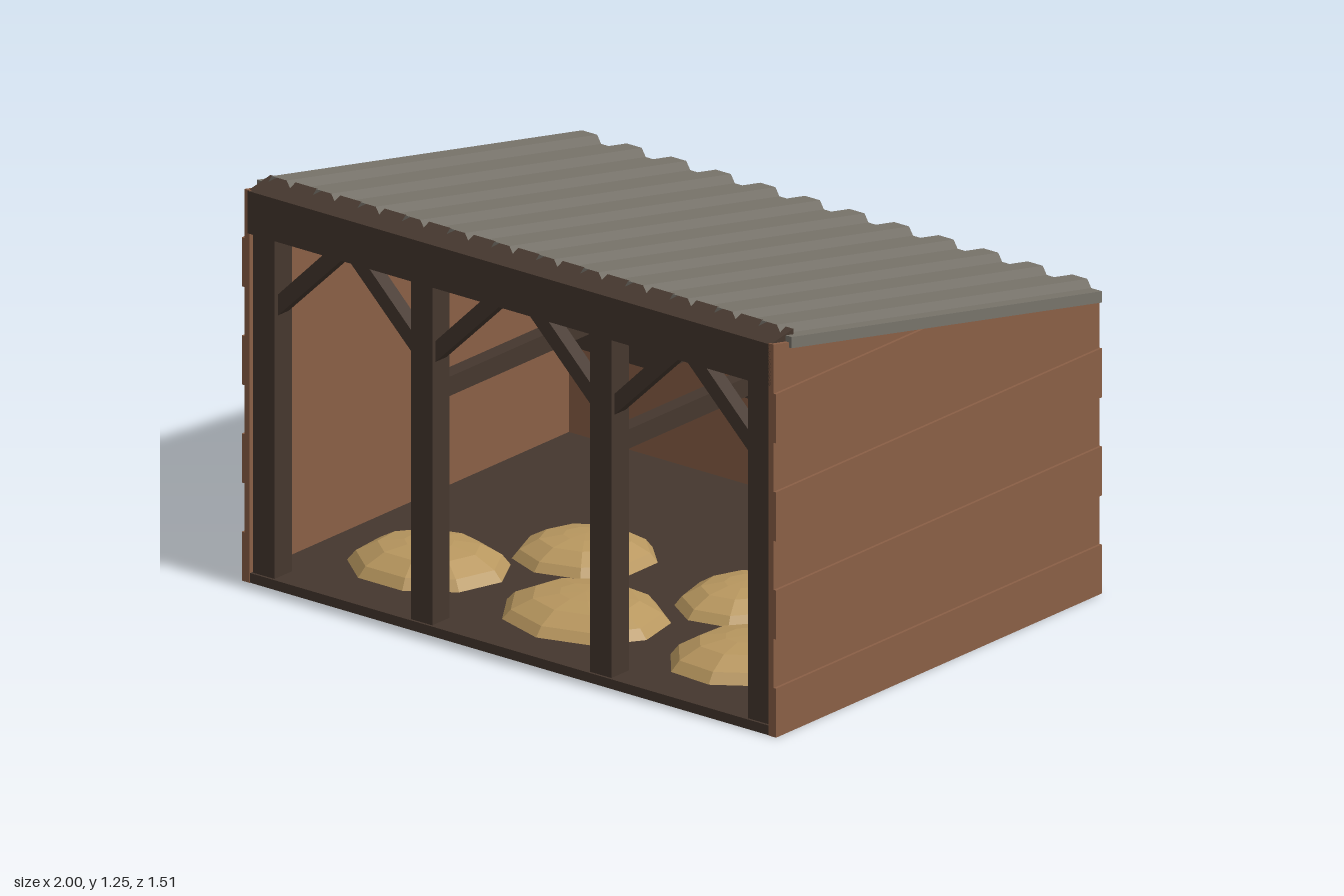
import * as THREE from 'three';

const material = (name, color, extra = {}) =>
  Object.assign(new THREE.MeshStandardMaterial({ color, ...extra }), { name });

export function createModel() {
  const group = new THREE.Group();
  const boards = material('wall boards', 0x8a5f46);
  const timber = material('dark timber', 0x45372e);
  const metal = material('roof metal', 0x77736a, { side: THREE.DoubleSide });
  const glass = material('window glass', 0x4a6678);
  const straw = material('straw', 0xb8975f, { flatShading: true });

  const add = (name, geometry, mat, parent = group) => {
    const mesh = new THREE.Mesh(geometry, mat);
    mesh.name = name;
    parent.add(mesh);
    return mesh;
  };
  // box given by its limits on each axis
  const box = (name, x0, x1, y0, y1, z0, z1, mat) => {
    const mesh = add(name, new THREE.BoxGeometry(x1 - x0, y1 - y0, z1 - z0), mat);
    mesh.position.set((x0 + x1) / 2, (y0 + y1) / 2, (z0 + z1) / 2);
    return mesh;
  };
  // side profile of [z, y] points, extruded from x0 to x1
  const profile = (name, points, x0, x1, mat) => {
    const shape = new THREE.Shape(points.map(([z, y]) => new THREE.Vector2(z, y)));
    const g = new THREE.ExtrudeGeometry(shape, { depth: x1 - x0, bevelEnabled: false });
    g.rotateY(-Math.PI / 2).translate(x1, 0, 0);
    return add(name, g, mat);
  };

  const FRONT = 0.75, BACK = -0.745, ROW = 0.1525;
  const wallTop = z => 1.07 + 0.2 * z;
  const roofTop = z => 1.089 + 0.2 * z;

  // floor
  box('floor', -0.97, 0.97, 0, 0.03, -0.73, 0.748, timber);

  // side walls: alternating boards cut off along the roof slope
  for (let i = 0; i < 8; i++) {
    const y0 = i * ROW, y1 = y0 + ROW;
    const outer = i % 2 ? 0.99 : 0.999;
    const cut = y => Math.max(BACK, (y - 1.07) / 0.2);
    const pts = [[FRONT, y0]];
    if (i < 7) pts.push([FRONT, y1]);
    pts.push([i < 7 ? cut(y1) : FRONT, Math.min(y1, wallTop(FRONT))]);
    if (y0 < wallTop(BACK) && y1 > wallTop(BACK)) pts.push([BACK, wallTop(BACK)]);
    pts.push([cut(y0), y0]);
    profile('leftWallBoard', pts, 0.97, outer, boards);
    profile('rightWallBoard', pts, -outer, -0.97, boards);
  }

  // back wall with slightly raised boards
  box('backWall', -0.985, 0.985, 0, 0.915, -0.744, -0.715, boards);
  for (let i = 1; i < 6; i += 2)
    box('backWallBoard', -0.965, 0.965, i * ROW, (i + 1) * ROW, -0.748, -0.74, boards);

  // window in the back wall
  box('windowPane', -0.195, 0.195, 0.475, 0.75, -0.752, -0.705, glass);
  for (const s of [-1, 1]) {
    box('windowFrameSide', s * 0.19 - 0.017, s * 0.19 + 0.017, 0.46, 0.765, -0.76, -0.71, timber);
    box('windowFrameRail', -0.207, 0.207, 0.6125 + s * 0.1375 - 0.015,
      0.6125 + s * 0.1375 + 0.015, -0.76, -0.71, timber);
  }
  box('windowUpright', -0.011, 0.011, 0.47, 0.755, -0.758, -0.745, timber);
  box('windowCrossbar', -0.195, 0.195, 0.601, 0.623, -0.758, -0.745, timber);

  // front beam, its top sloped with the roof
  profile('frontBeam', [[0.645, 1.085], [FRONT, 1.085], [FRONT, 1.217], [0.645, 1.235]],
    -0.978, 0.978, timber);

  // posts and braces
  const posts = [-0.925, -0.335, 0.335, 0.925];
  for (const x of posts) box('frontPost', x - 0.04, x + 0.04, 0.03, 1.09, 0.66, 0.74, timber);
  const brace = (x, dir) => {
    const shape = new THREE.Shape();
    shape.moveTo(x, 0.835).lineTo(x + dir * 0.275, 1.1).lineTo(x + dir * 0.205, 1.1).lineTo(x, 0.9);
    const g = new THREE.ExtrudeGeometry(shape, { depth: 0.05, bevelEnabled: false });
    add('brace', g.translate(0, 0, 0.675), timber);
  };
  for (let i = 0; i < 3; i++) {
    brace(posts[i] + 0.03, 1);
    brace(posts[i + 1] - 0.03, -1);
  }

  // stall rails running front to back
  for (const x of [-0.335, 0.335]) box('stallRail', x - 0.025, x + 0.025, 0.71, 0.77, -0.72, 0.67, timber);

  // feed troughs along the back wall
  for (const x of [-0.668, 0, 0.668]) {
    const a = x - 0.197, b = x + 0.197;
    box('troughBase', a, b, 0.395, 0.42, -0.72, -0.52, timber);
    box('troughFront', a, b, 0.395, 0.585, -0.54, -0.52, timber);
    box('troughEnd', a, a + 0.02, 0.395, 0.585, -0.72, -0.53, timber);
    box('troughEnd', b - 0.02, b, 0.395, 0.585, -0.72, -0.53, timber);
  }

  // straw heaps: faceted low domes
  const heap = (x, z, r, h, turn) => {
    const pts = [[1, 0], [0.88, 0.42], [0.62, 0.82], [0.3, 0.97], [0, 1]]
      .map(([a, b]) => new THREE.Vector2(a * r, b * h));
    const mesh = add('strawHeap', new THREE.LatheGeometry(pts, 9), straw);
    mesh.position.set(x, 0.025, z);
    mesh.rotation.y = turn;
    mesh.scale.z = 0.85;
  };
  heap(-0.6, 0.38, 0.25, 0.088, 0.3);
  heap(0, 0.4, 0.27, 0.08, 0);
  heap(0.6, 0.38, 0.25, 0.088, 0.9);
  heap(-0.3, 0.03, 0.22, 0.078, 0.6);
  heap(0.3, 0.03, 0.22, 0.078, 1.2);

  // roof sheet
  const RF = 0.68;
  profile('roofSheet', [[BACK, roofTop(BACK) - 0.035], [RF, roofTop(RF) - 0.035],
    [RF, roofTop(RF)], [BACK, roofTop(BACK)]], -1, 1, metal);

  // open-ended trapezoid ribs along the slope
  const rib = [[-0.043, 0], [-0.028, 0.025], [0.028, 0.025], [0.043, 0]];
  for (let i = 0; i < 12; i++) {
    const x = (i - 5.5) / 6;
    const pos = [];
    for (let k = 0; k < 3; k++) {
      const [p, q] = [rib[k], rib[k + 1]];
      const at = ([dx, dy], z) => [x + dx, roofTop(z) + dy, z];
      pos.push(...at(p, BACK), ...at(p, RF), ...at(q, RF), ...at(p, BACK), ...at(q, RF), ...at(q, BACK));
    }
    const g = new THREE.BufferGeometry();
    g.setAttribute('position', new THREE.Float32BufferAttribute(pos, 3));
    g.computeVertexNormals();
    add('roofRib', g, metal);
  }
  return group;
}
